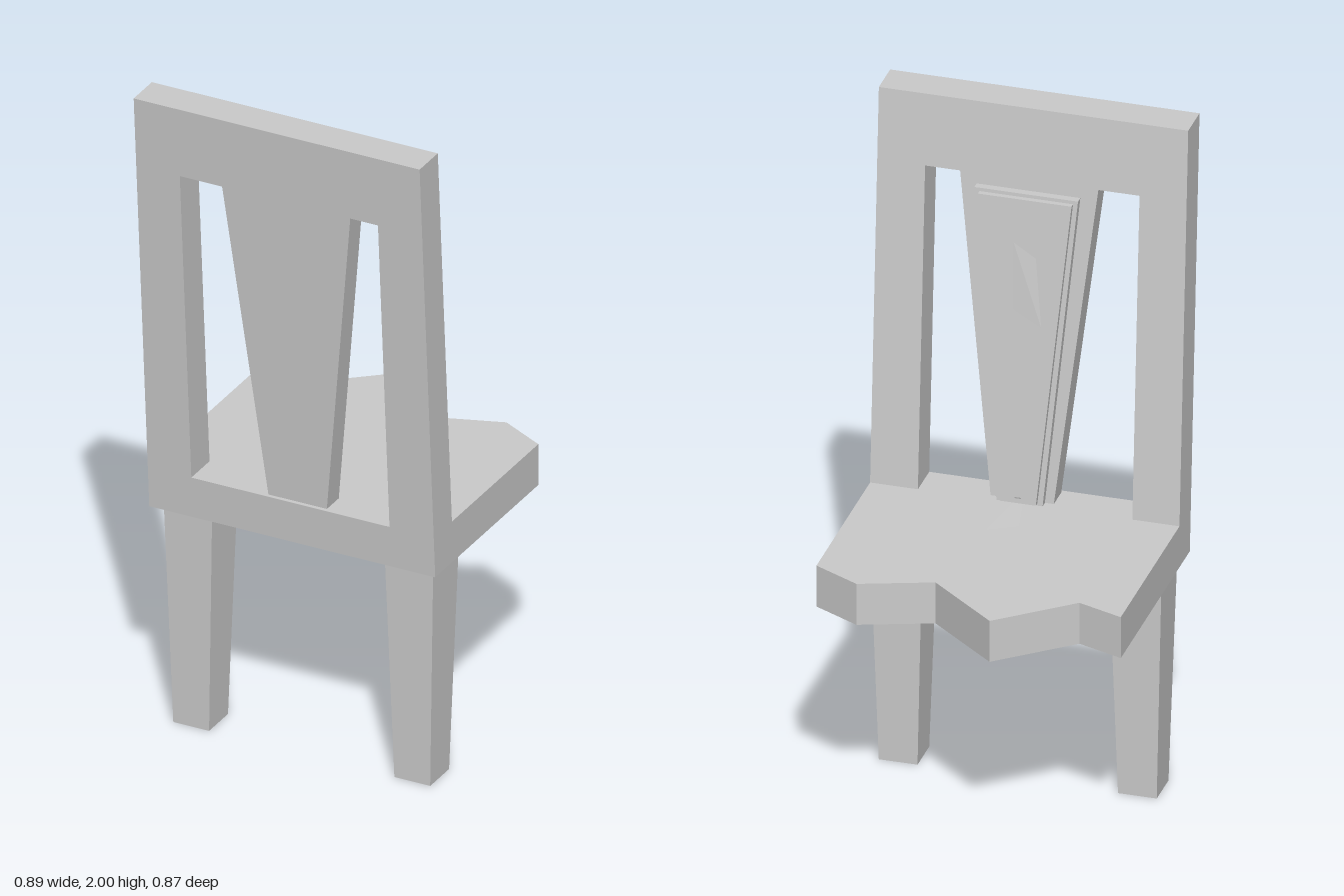
import * as THREE from 'three';

const material = new THREE.MeshStandardMaterial({ color: 0xcccccc, flatShading: true });
const thin = new THREE.MeshStandardMaterial({ color: 0xcccccc, flatShading: true, side: THREE.DoubleSide });

// depth of the leaning seat-side plane of the backrest at height y
const leanZ = (y) => 0.246 + 0.07 * (y - 0.815);
const toPath = (points) => points.map(([x, y]) => new THREE.Vector2(x, y));

// slab drawn in x/y, spanning two offsets from the leaning plane
function leaningSlab(name, outline, near, far, hole) {
  const shape = new THREE.Shape(toPath(outline));
  if (hole) shape.holes.push(new THREE.Path(toPath(hole)));
  const geometry = new THREE.ExtrudeGeometry(shape, { depth: far - near, bevelEnabled: false });
  const p = geometry.attributes.position;
  for (let i = 0; i < p.count; i++) p.setZ(i, p.getZ(i) + near + leanZ(p.getY(i)));
  geometry.computeVertexNormals();
  const mesh = new THREE.Mesh(geometry, material);
  mesh.name = name;
  return mesh;
}

// four-sided outline that widens upward
const taper = (y0, a0, b0, y1, a1, b1) => [[a0, y0], [b0, y0], [b1, y1], [a1, y1]];

function makeSeat() {
  // x and z of the outline, with the broken edge facing -z
  const outline = [[-0.443, 0.3], [-0.443, -0.31], [-0.31, -0.262], [-0.105, -0.435],
    [0.102, -0.262], [0.307, -0.333], [0.443, -0.262], [0.443, 0.3]];
  const shape = new THREE.Shape(toPath(outline));
  const geometry = new THREE.ExtrudeGeometry(shape, { depth: 0.127, bevelEnabled: false });
  geometry.rotateX(Math.PI / 2).translate(0, 0.815, 0);
  const seat = new THREE.Mesh(geometry, material);
  seat.name = 'brokenSeat';
  return seat;
}

function makeLeg(name, x) {
  const geometry = new THREE.BoxGeometry(0.15, 0.69, 0.15);
  const p = geometry.attributes.position;
  for (let i = 0; i < p.count; i++) {
    if (p.getY(i) < 0) p.setXYZ(i, p.getX(i) * 0.74, p.getY(i), p.getZ(i) * 0.74);
  }
  geometry.computeVertexNormals();
  const leg = new THREE.Mesh(geometry, material);
  leg.position.set(x, 0.345, 0.23);
  leg.name = name;
  return leg;
}

// flat strip through pairs of left and right points
function strip(name, pairs) {
  const geometry = new THREE.BufferGeometry();
  const index = [];
  for (let i = 0; i < pairs.length - 1; i++) {
    const k = i * 2;
    index.push(k, k + 1, k + 2, k + 1, k + 3, k + 2);
  }
  geometry.setAttribute('position', new THREE.Float32BufferAttribute(pairs.flat(2), 3));
  geometry.setIndex(index);
  geometry.computeVertexNormals();
  const mesh = new THREE.Mesh(geometry, thin);
  mesh.name = name;
  return mesh;
}

export function createModel() {
  const chair = new THREE.Group();
  chair.name = 'brokenChair';

  chair.add(makeSeat(), makeLeg('leftLeg', 0.341), makeLeg('rightLeg', -0.344));

  // backrest frame and the stepped splat inside it
  chair.add(leaningSlab('backFrame', taper(0.688, -0.443, 0.443, 2, -0.443, 0.443), 0, 0.107,
    taper(0.815, -0.308, 0.306, 1.785, -0.308, 0.306)));
  chair.add(leaningSlab('splat', taper(0.81, -0.075, 0.105, 1.79, -0.185, 0.215), 0.025, 0.095));
  chair.add(leaningSlab('splatStep', taper(0.815, -0.05, 0.082, 1.74, -0.132, 0.165), 0.003, 0.03));
  chair.add(leaningSlab('splatPanel', taper(0.822, -0.035, 0.068, 1.73, -0.118, 0.15), -0.012, 0.01));

  // thin ribbon down the panel, spilling onto the seat
  const at = (x, y, offset) => [x, y, leanZ(y) + offset];
  chair.add(strip('ribbonFlap', [
    [at(-0.02, 1.56, -0.013), at(0.045, 1.6, -0.013)],
    [at(-0.042, 1.36, -0.022), at(0.04, 1.4, -0.015)],
  ]));
  chair.add(strip('ribbon', [
    [at(0.03, 1.4, -0.0135), at(0.045, 1.4, -0.0135)],
    [at(0.018, 1.1, -0.0135), at(0.032, 1.1, -0.0135)],
    [at(0.008, 0.84, -0.0135), at(0.026, 0.84, -0.0135)],
    [[0.005, 0.82, 0.24], [0.03, 0.82, 0.24]],
    [[-0.022, 0.818, 0.115], [0.055, 0.818, 0.07]],
  ]));
  return chair;
}
